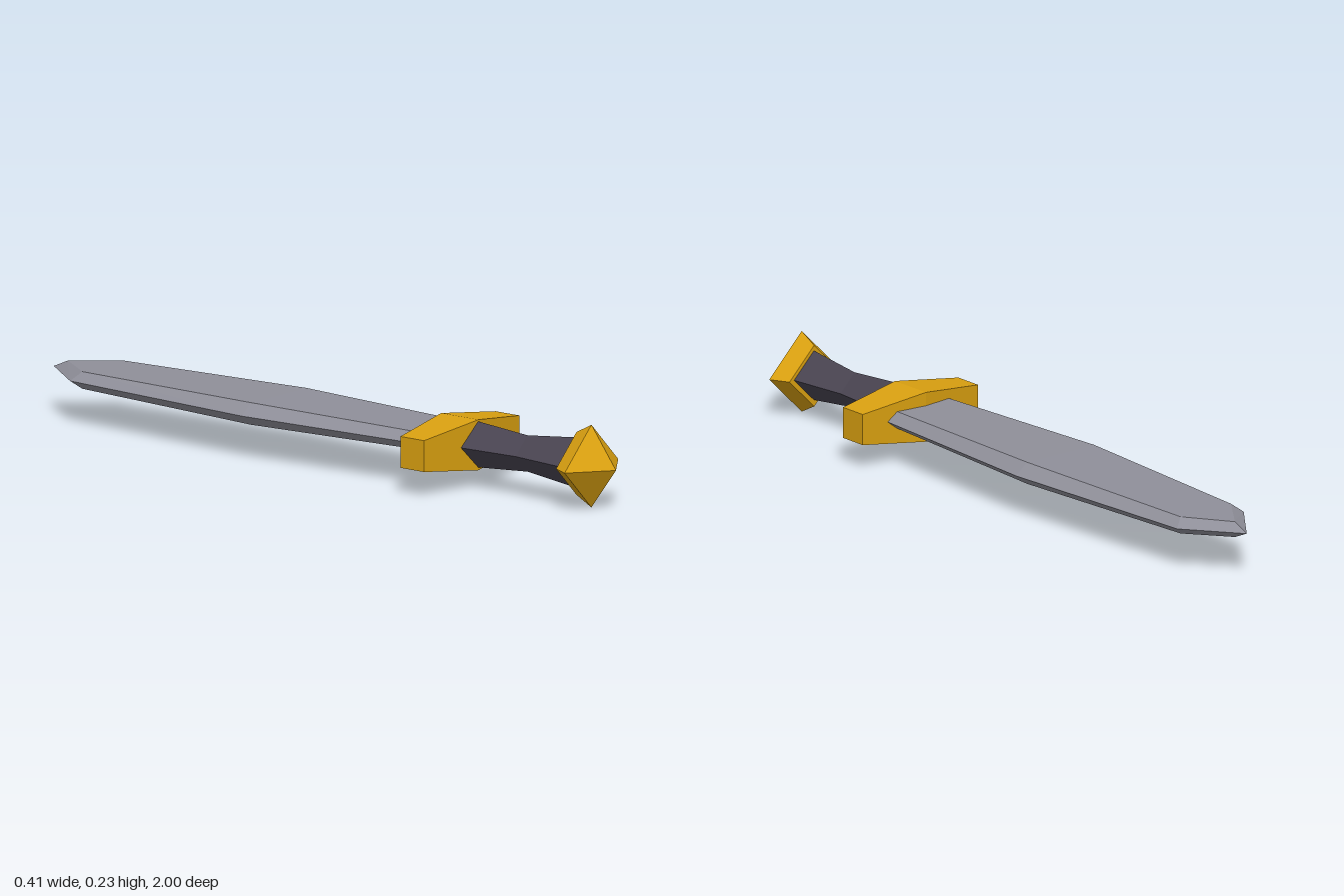
import * as THREE from 'three';

const gold = new THREE.MeshStandardMaterial({ name: 'gold', color: 0xd9a010, flatShading: true });
const steel = new THREE.MeshStandardMaterial({ name: 'steel', color: 0x8f8f99, flatShading: true });
const grip = new THREE.MeshStandardMaterial({ name: 'dark grip', color: 0x4a4552, flatShading: true });

// Skins a series of rings (counter-clockwise seen from the last ring's end) and caps both ends
function loft(name, rings, material) {
  const pos = [];
  const tri = (a, b, c) => {
    const [A, B, C] = [a, b, c].map((p) => new THREE.Vector3(...p));
    if (new THREE.Triangle(A, B, C).getArea() > 1e-8) pos.push(...a, ...b, ...c);
  };
  const n = rings[0].length;
  for (let i = 0; i < rings.length - 1; i++) {
    for (let j = 0; j < n; j++) {
      const k = (j + 1) % n;
      const [a, b, c, d] = [rings[i][j], rings[i][k], rings[i + 1][k], rings[i + 1][j]];
      tri(a, b, c);
      tri(a, c, d);
    }
  }
  const first = rings[0], last = rings[rings.length - 1];
  for (let j = 1; j < n - 1; j++) {
    tri(first[0], first[j + 1], first[j]);
    tri(last[0], last[j], last[j + 1]);
  }
  const geo = new THREE.BufferGeometry();
  geo.setAttribute('position', new THREE.Float32BufferAttribute(pos, 3));
  geo.computeVertexNormals();
  const mesh = new THREE.Mesh(geo, material);
  mesh.name = name;
  return mesh;
}

// Diamond cross-section for the grip and pommel
const diamond = (z, r, cx, cy) => [[cx + r, cy, z], [cx, cy + r, z], [cx - r, cy, z], [cx, cy - r, z]];

// Six-sided blade section: sharp edges with flat faces above and below
function bladeRing(cx, edgeZ, edgeHalf, flatZ, flatHalf, halfThick) {
  const y = 0.128;
  return [
    [cx + edgeHalf, y, edgeZ],
    [cx + flatHalf, y + halfThick, flatZ],
    [cx - flatHalf, y + halfThick, flatZ],
    [cx - edgeHalf, y, edgeZ],
    [cx - flatHalf, y - halfThick, flatZ],
    [cx + flatHalf, y - halfThick, flatZ],
  ];
}

export function createModel() {
  const model = new THREE.Group();
  model.name = 'shortSword';

  // Blade, from the tip to inside the guard
  model.add(loft('blade', [
    bladeRing(0.008, -1, 0, -0.95, 0, 0.022),
    bladeRing(0.008, -0.845, 0.119, -0.825, 0.09, 0.024),
    bladeRing(0.003, -0.2, 0.16, -0.2, 0.12, 0.031),
    bladeRing(0.001, 0.42, 0.122, 0.42, 0.091, 0.024),
  ], steel));

  // Crossguard, tapering to both ends
  const guardRing = (x, hy, hz) =>
    [[1, 1], [-1, 1], [-1, -1], [1, -1]].map(([y, z]) => [x, 0.12 + y * hy, 0.444 + z * hz]);
  model.add(loft('crossguard', [
    guardRing(-0.206, 0.044, 0.042),
    guardRing(0, 0.071, 0.066),
    guardRing(0.206, 0.044, 0.042),
  ], gold));

  // Waisted grip
  model.add(loft('grip', [
    diamond(0.49, 0.066, -0.001, 0.122),
    diamond(0.685, 0.051, -0.002, 0.121),
    diamond(0.87, 0.072, -0.003, 0.12),
  ], grip));

  // Pointed pommel
  model.add(loft('pommel', [
    diamond(0.86, 0.088, -0.004, 0.118),
    diamond(0.913, 0.116, -0.004, 0.118),
    diamond(1, 0, -0.004, 0.118),
  ], gold));

  return model;
}
